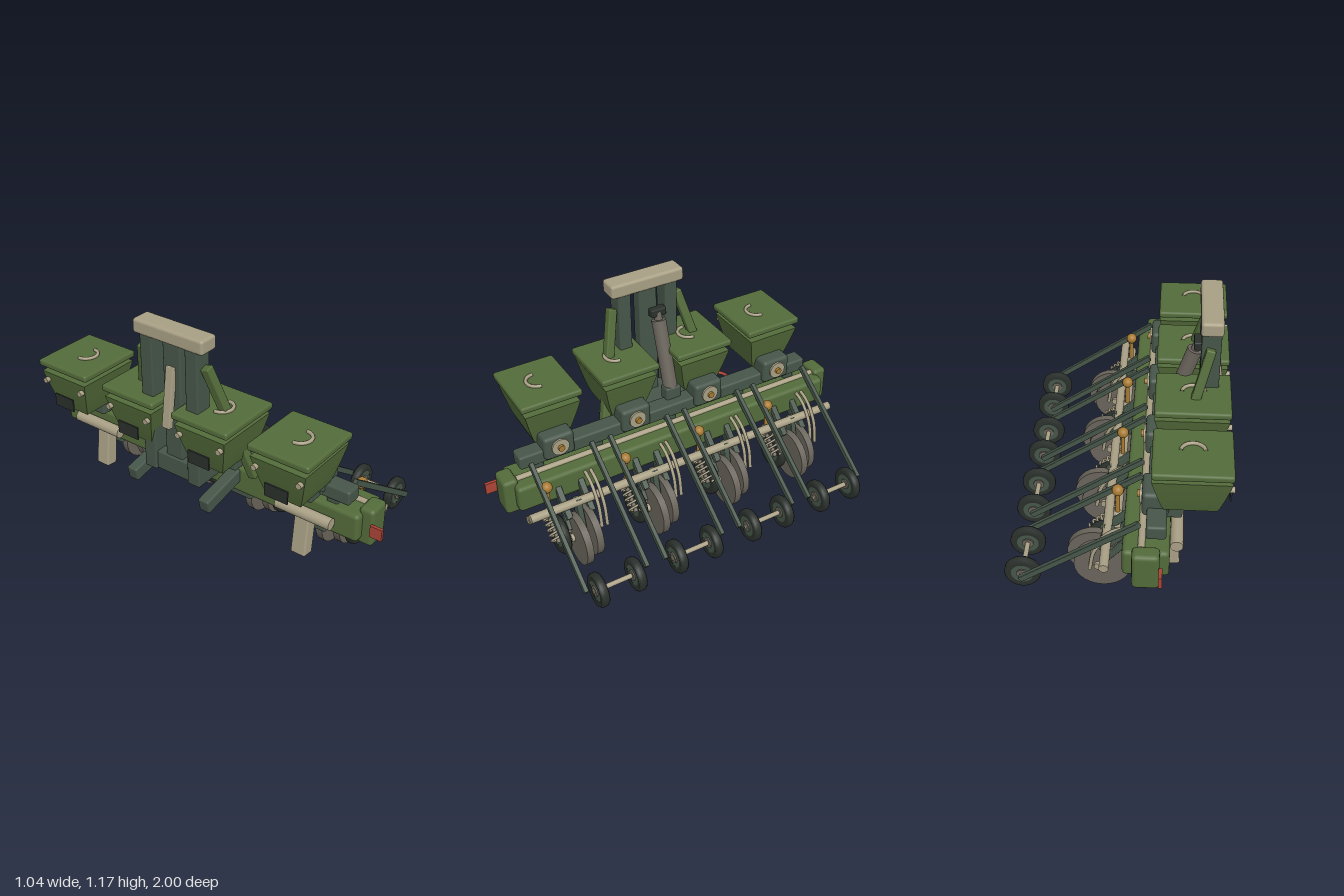
import * as THREE from 'three';
import { RoundedBoxGeometry } from 'three/addons/geometries/RoundedBoxGeometry.js';

const mat = (color) => new THREE.MeshStandardMaterial({ color });
const GREEN = mat(0x536b3a), DARK = mat(0x465549), TAN = mat(0xa89f84), BLACK = mat(0x2a302c);
const STEEL = mat(0x69645b), BRASS = mat(0xa87a32), RED = mat(0xab4435);
const V = (x, y, z) => new THREE.Vector3(x, y, z);

function add(parent, name, geo, material, x = 0, y = 0, z = 0) {
  const m = new THREE.Mesh(geo, material);
  m.name = name;
  m.position.set(x, y, z);
  parent.add(m);
  return m;
}

// Box given by its limits, with softened edges
function box(parent, name, material, [x0, x1], [y0, y1], [z0, z1], r = 0.01) {
  const w = x1 - x0, h = y1 - y0, d = z1 - z0;
  const geo = r ? new RoundedBoxGeometry(w, h, d, 2, r) : new THREE.BoxGeometry(w, h, d);
  return add(parent, name, geo, material, (x0 + x1) / 2, (y0 + y1) / 2, (z0 + z1) / 2);
}

// Lays a y-aligned geometry between two points
function span(parent, name, geo, material, a, b) {
  const m = add(parent, name, geo, material);
  m.position.copy(a).lerp(b, 0.5);
  m.quaternion.setFromUnitVectors(V(0, 1, 0), b.clone().sub(a).normalize());
}

// Round rod between two points
const rod = (parent, name, material, a, b, r) =>
  span(parent, name, new THREE.CylinderGeometry(r, r, a.distanceTo(b), 28), material, a, b);

// Rectangular bar between two points; depth is its size along z
const bar = (parent, name, material, a, b, width, depth) =>
  span(parent, name, new RoundedBoxGeometry(width, a.distanceTo(b), depth, 2, Math.min(width, depth) * 0.15), material, a, b);

const zRod = (parent, name, material, x, y, z0, z1, r) => rod(parent, name, material, V(x, y, z0), V(x, y, z1), r);
const tube = (parent, name, material, pts, r, n) =>
  add(parent, name, new THREE.TubeGeometry(new THREE.CatmullRomCurve3(pts), n, r, 8), material);

// Rubber tyre with a dished rim and hub, axle along z
function wheel(parent, name, x, y, z, r, w) {
  const g = new THREE.Group();
  g.name = name;
  g.position.set(x, y, z);
  const tyre = [[0.62, -0.4], [0.9, -0.5], [1, -0.25], [1, 0.25], [0.9, 0.5], [0.62, 0.4]]
    .map(([a, b]) => new THREE.Vector2(a * r, b * w));
  add(g, 'tyre', new THREE.LatheGeometry(tyre, 32), BLACK).rotation.x = Math.PI / 2;
  zRod(g, 'rim', DARK, 0, 0, -w * 0.35, w * 0.35, r * 0.66);
  zRod(g, 'hub', STEEL, 0, 0, -w * 0.5, w * 0.5, r * 0.32);
  zRod(g, 'hubCap', TAN, 0, 0, -w * 0.6, w * 0.6, r * 0.14);
  parent.add(g);
}

// Tapered square hopper with bulging walls
function hopperGeometry() {
  const geo = new THREE.BoxGeometry(1, 0.2, 1, 1, 6, 1), p = geo.attributes.position;
  for (let i = 0; i < p.count; i++) {
    const t = Math.pow(Math.max(0, p.getY(i) / 0.2 + 0.5), 0.85);
    p.setX(i, p.getX(i) * (0.235 + 0.11 * t));
    p.setZ(i, p.getZ(i) * (0.18 + 0.105 * t));
  }
  geo.computeVertexNormals();
  return geo;
}

// One planting row, centred on z = 0
function rowUnit() {
  const g = new THREE.Group();
  g.name = 'rowUnit';

  // Hopper, lid and fittings
  add(g, 'hopper', hopperGeometry(), GREEN, -0.333, 0.64, 0);
  box(g, 'hopperLid', GREEN, [-0.512, -0.158], [0.765, 0.8], [-0.158, 0.158], 0.012);
  add(g, 'lidHandle', new THREE.TorusGeometry(0.054, 0.009, 8, 20, Math.PI), TAN, -0.335, 0.805, 0).rotation.x = Math.PI / 2;
  for (const s of [-1, 1]) rod(g, 'hopperBolt', TAN, V(-0.48, 0.695, s * 0.115), V(-0.518, 0.695, s * 0.115), 0.014);
  box(g, 'hopperPlate', BLACK, [-0.512, -0.504], [0.575, 0.64], [-0.06, 0.06], 0);

  // Seed meter
  box(g, 'meterHousing', DARK, [-0.24, -0.118], [0.48, 0.61], [-0.08, 0.08], 0.02);
  rod(g, 'meterDial', TAN, V(-0.13, 0.548, 0), V(-0.108, 0.548, 0), 0.045);
  rod(g, 'meterKnob', BRASS, V(-0.11, 0.548, 0), V(-0.095, 0.548, 0), 0.016);
  box(g, 'meterChute', DARK, [-0.3, -0.21], [0.45, 0.55], [-0.05, 0.05]);

  // Beam clamp and parallel links
  box(g, 'beamClamp', DARK, [-0.2, -0.105], [0.235, 0.32], [-0.07, 0.07]);
  for (const s of [-1, 1]) {
    bar(g, 'upperLink', DARK, V(-0.06, 0.37, s * 0.06), V(0.07, 0.25, s * 0.06), 0.035, 0.03);
    bar(g, 'lowerLink', DARK, V(-0.06, 0.31, s * 0.06), V(0.06, 0.17, s * 0.06), 0.03, 0.025);
  }
  bar(g, 'discShank', DARK, V(0.03, 0.33, 0), V(0.08, 0.12, 0), 0.05, 0.03);
  zRod(g, 'discAxle', TAN, 0.08, 0.135, -0.07, 0.07, 0.02);

  // Staggered opening discs
  zRod(g, 'openerDisc', STEEL, 0.1, 0.136, 0.018, 0.054, 0.134);
  zRod(g, 'openerDisc', STEEL, 0.062, 0.136, -0.056, -0.02, 0.134);

  // Gauge wheel, its spring and depth adjuster
  wheel(g, 'gaugeWheel', 0.045, 0.157, 0.11, 0.1, 0.045);
  zRod(g, 'gaugeAxle', TAN, 0.045, 0.157, 0.05, 0.12, 0.012);
  const coil = [], a = V(0, 0.285, 0.145), b = V(0.115, 0.175, 0.145), u = V(0.69, 0.72, 0);
  for (let i = 0; i <= 72; i++) {
    const t = i / 72, q = t * 6 * Math.PI * 2;
    coil.push(a.clone().lerp(b, t).addScaledVector(u, Math.cos(q) * 0.034).add(V(0, 0, Math.sin(q) * 0.03)));
  }
  tube(g, 'spring', TAN, coil, 0.006, 140);
  rod(g, 'springRod', STEEL, a, b, 0.012);
  add(g, 'springMount', new THREE.SphereGeometry(0.026, 16, 12), TAN, 0, 0.28, 0.135);
  rod(g, 'depthRod', BRASS, V(0, 0.29, 0.135), V(0, 0.43, 0.135), 0.011);
  add(g, 'depthKnob', new THREE.SphereGeometry(0.028, 20, 14), BRASS, 0, 0.435, 0.135);

  // Seed tubes
  for (const z of [-0.085, -0.115]) {
    tube(g, 'seedTube', TAN, [V(-0.08, 0.42, z), V(0.02, 0.38, z), V(0.09, 0.29, z), V(0.115, 0.17, z)], 0.009, 24);
  }

  // Trailing arms and closing wheels
  for (const s of [-1, 1]) {
    bar(g, 'trailingArm', DARK, V(-0.112, 0.512, s * 0.16), V(0.435, 0.132, s * 0.16), 0.03, 0.022);
    wheel(g, 'closingWheel', 0.432, 0.116, s * 0.098, 0.085, 0.045);
  }
  zRod(g, 'closingAxle', TAN, 0.432, 0.116, -0.12, 0.12, 0.012);
  return g;
}

export function createModel() {
  const model = new THREE.Group();
  model.name = 'rowPlanter';

  // Tool beam, upper rail and cross tubes
  box(model, 'mainBeam', GREEN, [-0.25, -0.04], [0.297, 0.44], [-0.895, 0.895], 0.02);
  box(model, 'upperRail', DARK, [-0.232, -0.142], [0.462, 0.535], [-0.835, 0.835], 0.012);
  zRod(model, 'beamPipe', TAN, -0.125, 0.44, -0.87, 0.87, 0.016);
  zRod(model, 'driveShaft', TAN, 0.04, 0.315, -0.88, 0.88, 0.022);
  zRod(model, 'lowerShaft', TAN, 0, 0.275, -0.6, 0.88, 0.02);
  for (const z of [-0.74, -0.42, 0, 0.42, 0.74]) {
    box(model, 'railBracket', DARK, [-0.22, -0.15], [0.42, 0.48], [z - 0.03, z + 0.03]);
  }

  for (const z of [-0.632, -0.211, 0.211, 0.632]) {
    const unit = rowUnit();
    unit.position.z = z;
    model.add(unit);
  }

  for (const s of [-1, 1]) {
    const side = (p, q) => (s > 0 ? [p, q] : [-q, -p]);
    // Beam ends with reflectors
    box(model, 'endCap', GREEN, [-0.207, -0.085], [0.27, 0.465], side(0.87, 0.948), 0.02);
    box(model, 'reflector', RED, [-0.22, -0.204], [0.34, 0.4], side(0.94, 1), 0);
    // Parking stands
    zRod(model, 'standPipe', TAN, -0.28, 0.37, s * 0.49, s * 0.78, 0.029);
    bar(model, 'standLeg', TAN, V(-0.238, 0.38, s * 0.62), V(-0.266, 0.13, s * 0.62), 0.068, 0.08);
    // Hitch posts, braces and lower arms
    box(model, 'mastPost', DARK, [-0.453, -0.362], [0.4, 1.11], side(0.095, 0.165), 0.008);
    bar(model, 'mastBrace', GREEN, V(-0.408, 1.025, s * 0.182), V(-0.25, 0.43, s * 0.335), 0.045, 0.045);
    bar(model, 'hitchArm', DARK, V(-0.49, 0.342, s * 0.22), V(-0.22, 0.398, s * 0.22), 0.07, 0.06);
  }

  // Mast centre, cap and top link
  box(model, 'mastCentre', DARK, [-0.43, -0.365], [0.42, 1.11], [-0.05, 0.05], 0.008);
  box(model, 'mastCap', TAN, [-0.459, -0.355], [1.1, 1.172], [-0.2, 0.2], 0.015);
  box(model, 'mastFoot', DARK, [-0.44, -0.22], [0.4, 0.5], [-0.165, 0.165]);
  bar(model, 'topLink', TAN, V(-0.43, 0.98, 0), V(-0.472, 0.68, 0), 0.03, 0.045);

  // Lift cylinder
  rod(model, 'liftBarrel', STEEL, V(-0.225, 0.58, -0.042), V(-0.337, 0.93, -0.042), 0.037);
  rod(model, 'liftRod', STEEL, V(-0.337, 0.93, -0.042), V(-0.352, 0.98, -0.042), 0.02);
  box(model, 'liftTopMount', BLACK, [-0.375, -0.33], [0.95, 0.992], [-0.085, 0], 0.006);
  box(model, 'liftLowerMount', DARK, [-0.255, -0.19], [0.52, 0.6], [-0.085, 0]);

  // Hydraulic hose loop
  add(model, 'hoseLoop', new THREE.TorusGeometry(0.052, 0.009, 10, 32), RED, -0.3, 0.473, -0.378).rotation.x = Math.PI / 2;
  box(model, 'hoseBlock', STEEL, [-0.32, -0.24], [0.42, 0.46], [-0.4, -0.35], 0.006);
  return model;
}
